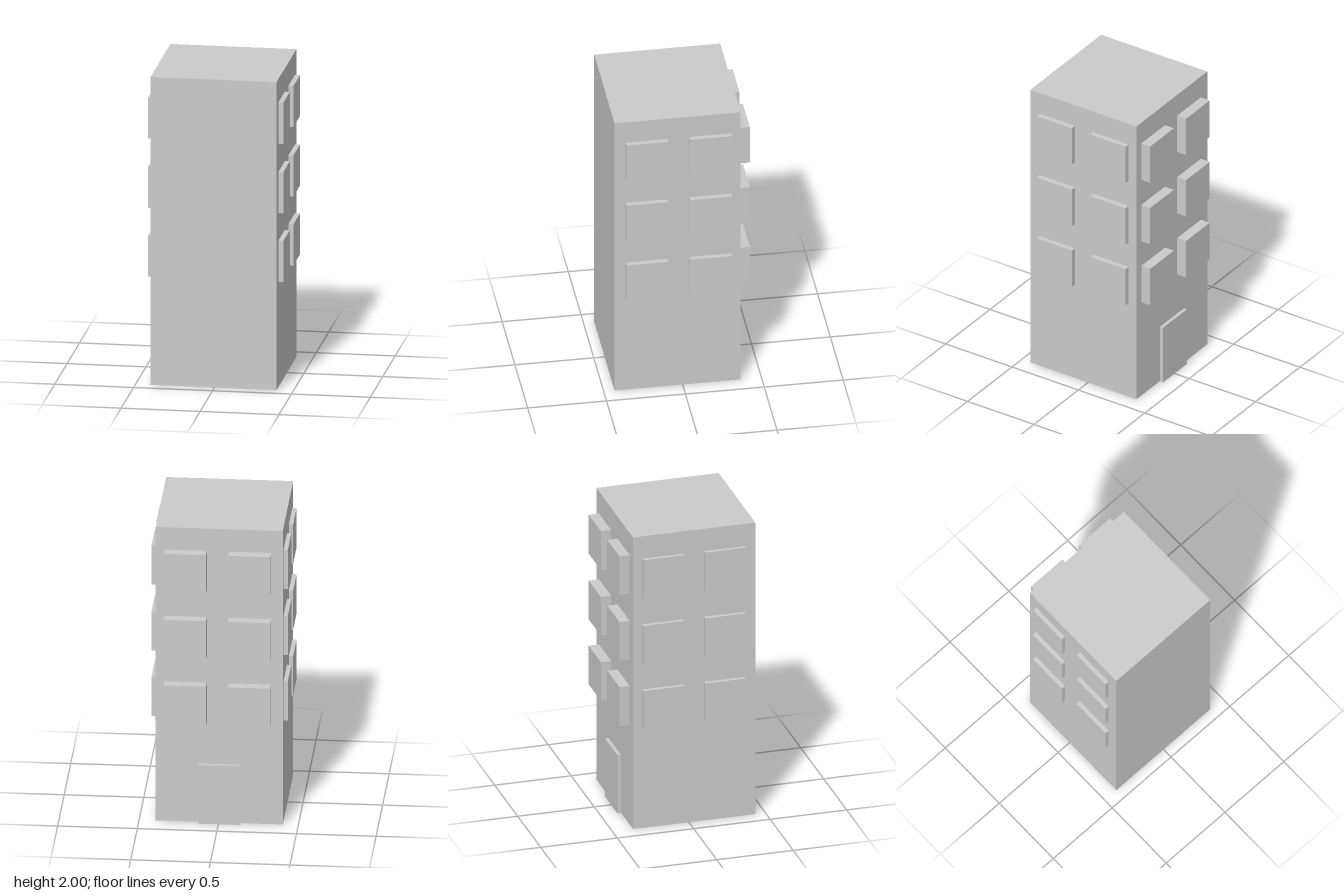
import * as THREE from 'three';

const material = new THREE.MeshStandardMaterial({ color: 0xcccccc, flatShading: true });

// Box given by its minimum and maximum corners
function block(name, min, max) {
  const size = max.map((v, i) => v - min[i]);
  const mesh = new THREE.Mesh(new THREE.BoxGeometry(...size), material);
  mesh.position.set(...max.map((v, i) => (v + min[i]) / 2));
  mesh.name = name;
  return mesh;
}

export function createModel() {
  const model = new THREE.Group();
  model.name = 'towerBlock';

  const left = 0.395, right = -0.403, front = 0.432, back = -0.367;
  model.add(block('building', [right, 0.003, back], [left, 2, front]));

  // Door at the middle of the back wall
  model.add(block('door', [-0.138, 0, -0.39], [0.128, 0.4, back]));

  // Three storeys, each with two windows on the back and on both sides
  const size = 0.266;
  for (const y of [0.686, 1.132, 1.582]) {
    const top = y + size;
    for (const x of [-0.33, 0.074]) {
      model.add(block('backWindow', [x, y, -0.434], [x + size, top, back]));
    }
    for (const z of [-0.308, 0.096]) {
      model.add(block('leftWindow', [left, y, z], [0.427, top, z + size]));
      model.add(block('rightWindow', [-0.43, y, z], [right, top, z + size]));
    }
  }
  return model;
}
